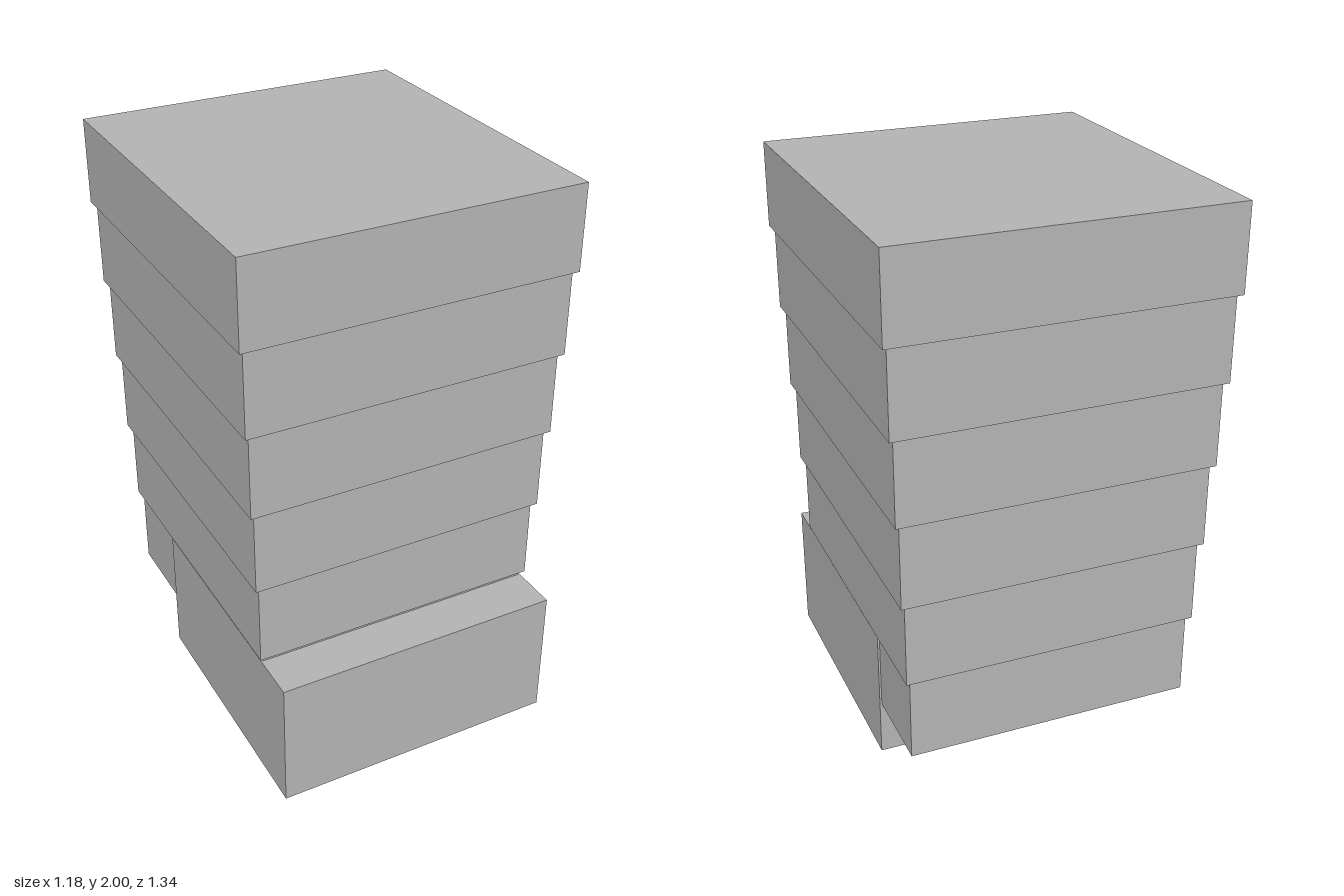
import * as THREE from 'three';

export function createModel() {
  const model = new THREE.Group();
  const grey = new THREE.MeshStandardMaterial({ color: 0xb2b2b2 });
  grey.name = 'grey';

  const addBox = (name, w, h, d, y, z) => {
    const mesh = new THREE.Mesh(new THREE.BoxGeometry(w, h, d), grey);
    mesh.name = name;
    mesh.position.set(0, y + h / 2, z);
    model.add(mesh);
  };

  // Base block, pushed towards the front
  addBox('base', 1.032, 0.48, 0.954, 0, 0.195);

  // Six stacked tiers, each slightly wider than the one below
  const tiers = 6;
  for (let i = 0; i < tiers; i++) {
    const grow = i * 0.0315;
    addBox(`tier${i + 1}`, 1.018 + grow, 0.3, 1.094 + grow, 0.2 + i * 0.3, -0.0455);
  }

  return model;
}
